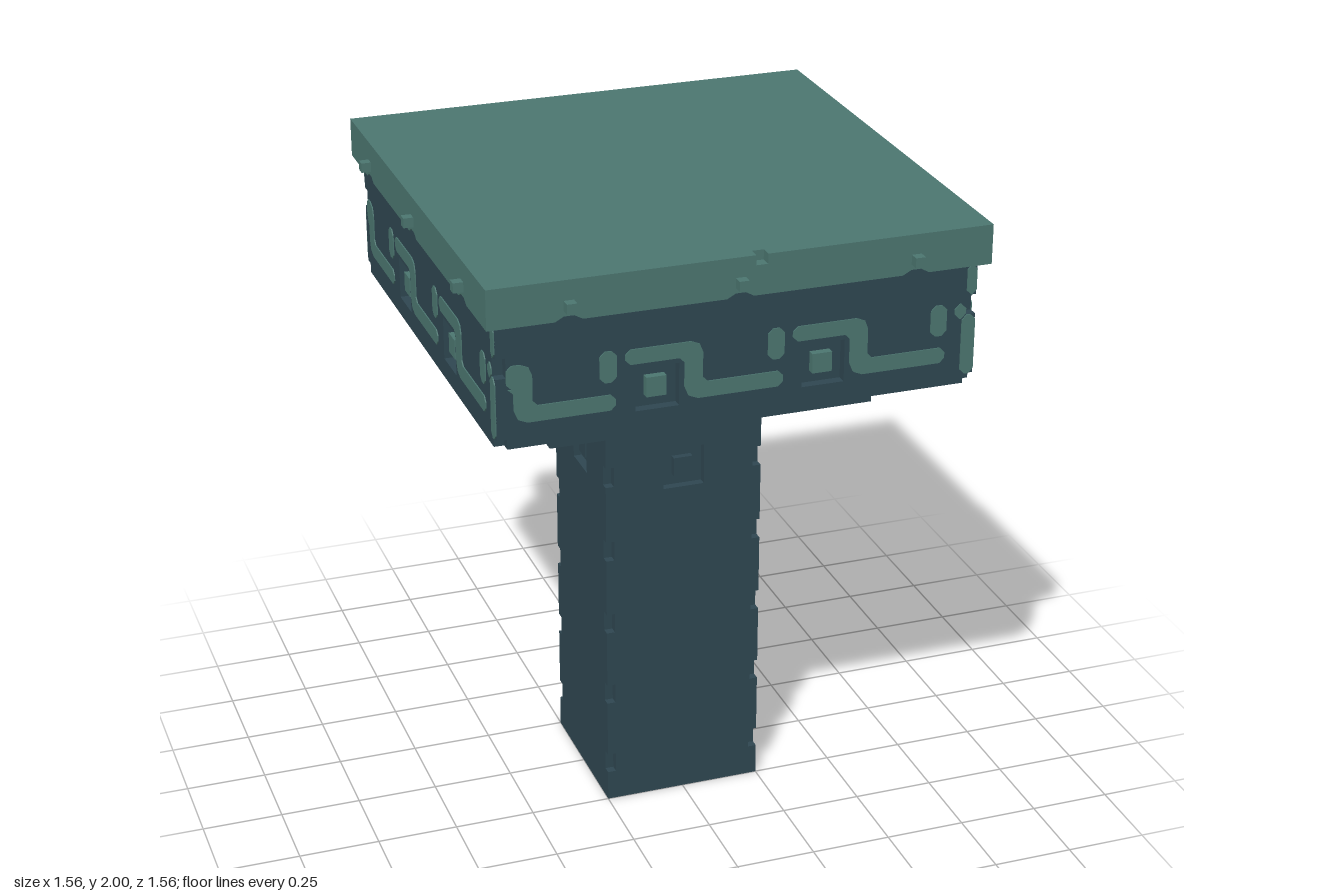
import * as THREE from 'three';

const dark = new THREE.MeshStandardMaterial({ color: 0x2e4650 });
dark.name = 'dark slate';
const green = new THREE.MeshStandardMaterial({ color: 0x4b756f });
green.name = 'weathered green';

function box(parent, name, mat, x0, x1, y0, y1, z0, z1) {
  const m = new THREE.Mesh(new THREE.BoxGeometry(x1 - x0, y1 - y0, z1 - z0), mat);
  m.position.set((x0 + x1) / 2, (y0 + y1) / 2, (z0 + z1) / 2);
  m.name = name;
  parent.add(m);
  return m;
}

function polygon(points, Type = THREE.Shape) {
  return new Type(points.map(([x, y]) => new THREE.Vector2(x, y)));
}

function rect(x0, x1, y0, y1, Type) {
  return polygon([[x0, y0], [x1, y0], [x1, y1], [x0, y1]], Type);
}

// Outline with its corners cut off, for the painted strokes
function softPolygon(points, r = 0.015) {
  const out = [];
  points.forEach(([x, y], i) => {
    const here = new THREE.Vector2(x, y);
    for (const j of [i + points.length - 1, i + 1]) {
      const to = new THREE.Vector2(...points[j % points.length]).sub(here).setLength(r);
      out.push([x + to.x, y + to.y]);
    }
  });
  return polygon(out);
}

function slab(parent, name, mat, shape, z, depth) {
  const m = new THREE.Mesh(new THREE.ExtrudeGeometry(shape, { depth, bevelEnabled: false }), mat);
  m.position.z = z;
  m.name = name;
  parent.add(m);
}

// One wall with square sockets, each holding a raised stud
function socketWall(parent, name, half, y0, y1, z, depth, sockets, studMat) {
  const wall = rect(-half, half, y0, y1);
  for (const [x, y] of sockets) {
    wall.holes.push(rect(x - 0.065, x + 0.065, y - 0.065, y + 0.065, THREE.Path));
    box(parent, name + 'Stud', studMat, x - 0.03, x + 0.03, y - 0.03, y + 0.03, z, z + depth - 0.006);
  }
  slab(parent, name + 'Wall', dark, wall, z, depth);
}

// Corner post made of the pieces left between its notches
function cornerPost(parent, name, in0, out, spans) {
  for (const [a, b] of spans) box(parent, name, dark, in0, out, a, b, in0, out);
}

function paintFace(parent) {
  const z = 0.7195, t = 0.004;
  const stroke = (points) => slab(parent, 'paintedStroke', green, softPolygon(points), z, t);
  const blob = (x0, x1, y0, y1) => stroke([[x0, y0], [x1, y0], [x1, y1], [x0, y1]]);
  for (const dx of [-0.5, 0, 0.5]) {
    const start = Math.max(-0.345 + dx, -0.69);
    const low = dx < 0 ? 1.685 : 1.71;
    stroke([
      [start, low], [-0.17 + dx, low], [-0.17 + dx, 1.605], [-0.145 + dx, 1.58],
      [0.127 + dx, 1.58], [0.127 + dx, 1.628], [-0.115 + dx, 1.628],
      [-0.115 + dx, 1.735], [-0.135 + dx, 1.756], [start, 1.756],
    ]);
    blob(0.08 + dx, 0.13 + dx, 1.665, 1.76);
  }
  // Strokes running over the right-hand corner
  blob(0.655, 0.69, 1.71, 1.756);
  blob(0.69, 0.72, 1.78, 1.875);
  blob(0.678, 0.72, 1.535, 1.72);
}

export function createModel() {
  const model = new THREE.Group();

  // Solid cores behind the walls
  box(model, 'shaftCore', dark, -0.224, 0.224, 0, 1.38, -0.224, 0.224);
  box(model, 'collar', dark, -0.5, 0.5, 1.38, 1.505, -0.5, 0.5);
  box(model, 'headCore', dark, -0.69, 0.69, 1.505, 1.88, -0.69, 0.69);
  box(model, 'capCore', green, -0.72, 0.72, 1.88, 1.97, -0.72, 0.72);

  // Top slab with a small nick in its front edge
  const top = polygon([
    [-0.75, -0.75], [0.03, -0.75], [0.03, -0.715], [0.065, -0.715],
    [0.065, -0.75], [0.75, -0.75], [0.75, 0.75], [-0.75, 0.75],
  ]);
  const topGeo = new THREE.ExtrudeGeometry(top, { depth: 0.03, bevelEnabled: false });
  topGeo.rotateX(-Math.PI / 2);
  const topMesh = new THREE.Mesh(topGeo, green);
  topMesh.position.y = 1.97;
  topMesh.name = 'topSlab';
  model.add(topMesh);

  // Heights of the shaft corner pieces between evenly spaced notches
  const shaftSpans = [];
  let y = 0;
  for (let i = 0; i < 5; i++) {
    const c = 0.13 + i * 0.25;
    shaftSpans.push([y, c - 0.032]);
    y = c + 0.032;
  }
  shaftSpans.push([y, 1.38]);

  // The four sides are quarter turns of one another
  for (let i = 0; i < 4; i++) {
    const side = new THREE.Group();
    side.name = 'side' + (i + 1);
    side.rotation.y = i * Math.PI / 2;
    model.add(side);

    socketWall(side, 'shaft', 0.224, 0, 1.38, 0.224, 0.026, [[0, 1.13]], dark);
    cornerPost(side, 'shaftCorner', 0.224, 0.25, shaftSpans);

    socketWall(side, 'head', 0.69, 1.505, 1.88, 0.69, 0.03, [[-0.25, 1.63], [0.25, 1.63]], green);
    cornerPost(side, 'headCorner', 0.69, 0.72, [[1.535, 1.72], [1.78, 1.88]]);
    paintFace(side);

    // Cap rim with shallow notches below and pegs outside
    const rim = [[-0.75, 1.88]];
    for (const x of [-0.515, -0.015, 0.515]) {
      rim.push([x - 0.04, 1.88], [x - 0.015, 1.894], [x + 0.015, 1.894], [x + 0.04, 1.88]);
      box(side, 'notchBack', dark, x - 0.045, x + 0.045, 1.88, 1.898, 0.716, 0.722);
      box(side, 'peg', green, x - 0.015, x + 0.015, 1.91, 1.94, 0.745, 0.78);
    }
    rim.push([0.72, 1.88], [0.72, 1.97], [-0.75, 1.97]);
    slab(side, 'capRim', green, polygon(rim), 0.72, 0.03);
  }
  return model;
}
